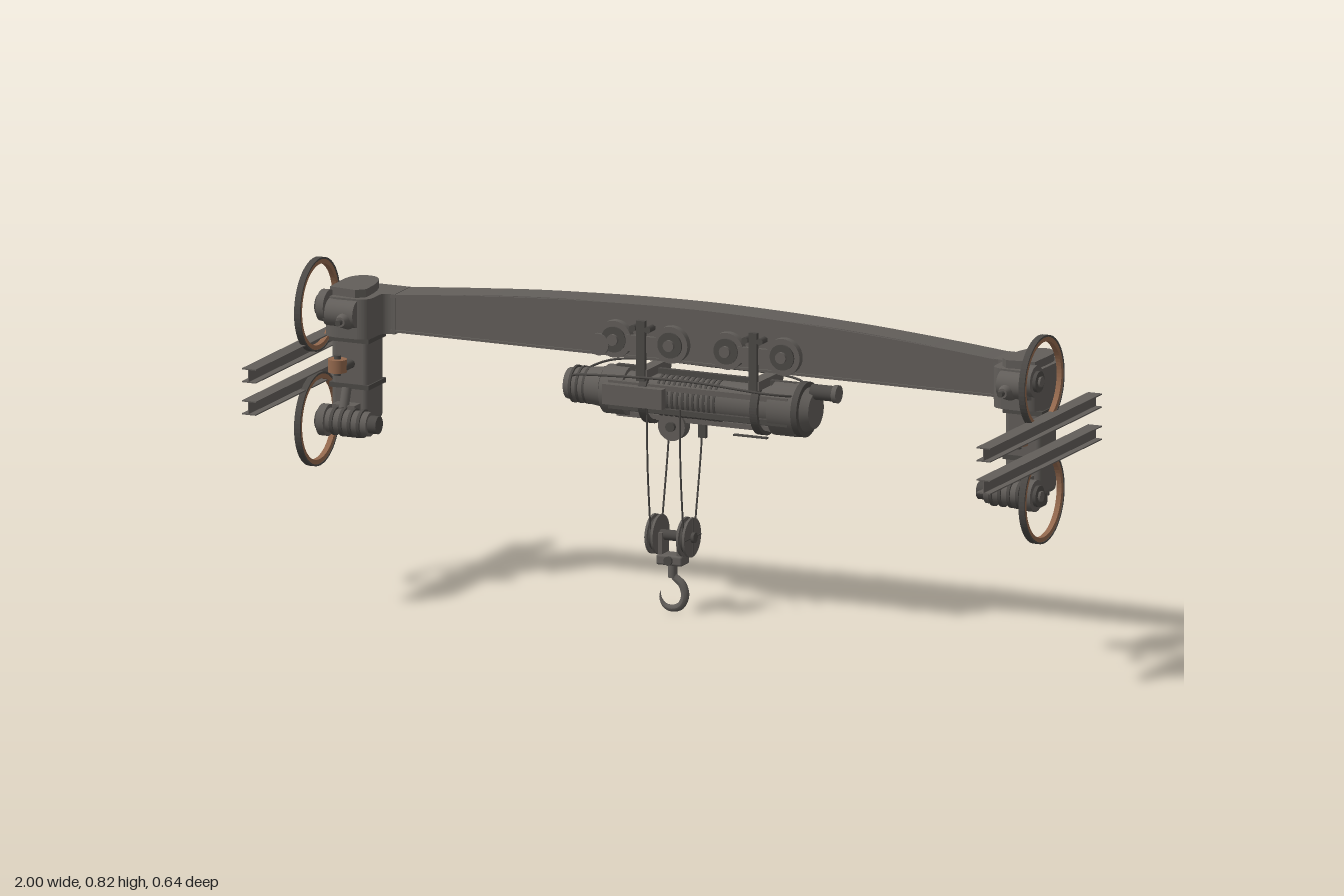
import * as THREE from 'three';
import { RoundedBoxGeometry } from 'three/addons/geometries/RoundedBoxGeometry.js';

const mat = (name, color) => {
  const m = new THREE.MeshStandardMaterial({ color });
  m.name = name;
  return m;
};

export function createModel() {
  const steel = mat('steel grey', 0x625e5a);
  const dark = mat('dark steel', 0x4c4946);
  const copper = mat('copper brown', 0x93684d);
  const root = new THREE.Group();
  root.name = 'overheadCrane';

  const add = (parent, name, geo, m, x = 0, y = 0, z = 0) => {
    const mesh = new THREE.Mesh(geo, m);
    mesh.name = name;
    mesh.position.set(x, y, z);
    parent.add(mesh);
    return mesh;
  };
  const group = (name) => {
    const g = new THREE.Group();
    g.name = name;
    root.add(g);
    return g;
  };
  const box = (p, name, m, w, h, d, x, y, z) => add(p, name, new THREE.BoxGeometry(w, h, d), m, x, y, z);
  // Cylinder along a chosen axis
  const cyl = (p, name, m, axis, r, len, x, y, z, r2 = r, seg = 28) => {
    const g = new THREE.CylinderGeometry(r2, r, len, seg);
    if (axis === 'x') g.rotateZ(-Math.PI / 2);
    if (axis === 'z') g.rotateX(Math.PI / 2);
    return add(p, name, g, m, x, y, z);
  };
  const tube = (p, name, m, pts, r, seg = 24) => add(p, name,
    new THREE.TubeGeometry(new THREE.CatmullRomCurve3(pts.map((a) => new THREE.Vector3(...a))), seg, r, 8), m);
  // Flat ring whose axis is x
  const ring = (p, name, m, ro, ri, w, x, y, z) => {
    const s = new THREE.Shape().absarc(0, 0, ro, 0, Math.PI * 2);
    s.holes.push(new THREE.Path().absarc(0, 0, ri, 0, Math.PI * 2, true));
    const g = new THREE.ExtrudeGeometry(s, { depth: w, bevelEnabled: false, curveSegments: 32 });
    g.translate(0, 0, -w / 2).rotateY(Math.PI / 2);
    return add(p, name, g, m, x, y, z);
  };

  // Main girder with arched top
  const girder = group('girder');
  const arch = (inset, bottom) => {
    const s = new THREE.Shape();
    s.moveTo(-0.85, bottom).lineTo(0.85, bottom).lineTo(0.85, 0.722 - inset);
    s.bezierCurveTo(0.45, 0.772 - inset, 0.25, 0.77 - inset, 0, 0.77 - inset);
    s.bezierCurveTo(-0.25, 0.77 - inset, -0.45, 0.772 - inset, -0.85, 0.722 - inset);
    return s;
  };
  const slab = (name, shape, depth, z) => add(girder, name,
    new THREE.ExtrudeGeometry(shape, { depth, bevelEnabled: false, curveSegments: 20 }), steel, 0, 0, z);
  slab('girderBody', arch(0.004, 0.637), 0.08, -0.211);
  slab('girderTopFlange', arch(0, 0.718), 0.088, -0.215).scale.set(0.001, 0.001, 0.001);
  girder.remove(girder.children[1]);
  const lip = new THREE.Shape();
  for (let i = 0; i <= 40; i++) {
    const x = -0.85 + i * 0.0425;
    const y = 0.77 - 0.048 * Math.pow(Math.abs(x) / 0.85, 1.8);
    i ? lip.lineTo(x, y) : lip.moveTo(x, y);
  }
  for (let i = 40; i >= 0; i--) {
    const x = -0.85 + i * 0.0425;
    lip.lineTo(x, 0.762 - 0.048 * Math.pow(Math.abs(x) / 0.85, 1.8));
  }
  slab('girderTopFlange', lip, 0.09, -0.216);
  box(girder, 'girderBottomFlange', steel, 1.68, 0.006, 0.09, 0, 0.636, -0.171);

  // End carriages, mirrored left and right
  for (const s of [1, -1]) {
    const e = group(s > 0 ? 'leftEndCarriage' : 'rightEndCarriage');
    const plan = (k) => {
      const p = new THREE.Shape();
      p.moveTo(s * 0.8, 0.215).lineTo(s * 0.89, 0.215 - k);
      p.quadraticCurveTo(s * (0.953 - k), 0.213 - k, s * (0.955 - k), 0.15);
      p.lineTo(s * (0.953 - k), 0.06).quadraticCurveTo(s * (0.945 - k), 0.038 + k, s * 0.91, 0.038 + k);
      p.lineTo(s * (0.86 + k), 0.04 + k).quadraticCurveTo(s * (0.832 + k), 0.045 + k, s * (0.832 + k), 0.07);
      p.lineTo(s * (0.832 + k), 0.105).quadraticCurveTo(s * 0.832, 0.127, s * 0.8, 0.127);
      return p;
    };
    const planGeo = (shape, depth) => new THREE.ExtrudeGeometry(shape, { depth, bevelEnabled: false, curveSegments: 12 })
      .rotateX(-Math.PI / 2);
    add(e, 'cornerHousing', planGeo(plan(0), 0.1), steel, 0, 0.628, 0);
    const lid = new THREE.Shape();
    lid.moveTo(s * 0.85, 0.07).quadraticCurveTo(s * 0.85, 0.2, s * 0.9, 0.205);
    lid.quadraticCurveTo(s * 0.945, 0.205, s * 0.945, 0.14).lineTo(s * 0.942, 0.06).lineTo(s * 0.87, 0.05);
    add(e, 'housingLid', planGeo(lid, 0.022), steel, 0, 0.726, 0);

    // Leg below the housing
    add(e, 'leg', new RoundedBoxGeometry(0.1, 0.235, 0.095, 3, 0.015), steel, s * 0.9, 0.523, -0.127);
    add(e, 'legFoot', new RoundedBoxGeometry(0.07, 0.06, 0.075, 3, 0.012), dark, s * 0.9, 0.4, -0.118);
    box(e, 'legRearRib', dark, 0.05, 0.2, 0.008, s * 0.9, 0.49, -0.176);
    for (const y of [0.615, 0.5]) box(e, 'legBand', dark, 0.106, 0.012, 0.1, s * 0.9, y, -0.127);

    // Upper drive: hub, motor and nozzle
    for (const y of [0.705, 0.42]) {
      cyl(e, 'wheelHub', steel, 'x', 0.039, 0.02, s * 0.945, y, -0.042);
      cyl(e, 'hubRim', dark, 'x', 0.026, 0.012, s * 0.958, y, -0.042);
      cyl(e, 'hubNut', steel, 'x', 0.014, 0.012, s * 0.964, y, -0.042, 0.014, 6);
      ring(e, 'wheelRing', copper, 0.113, 0.1, 0.013, s * 0.968, y, -0.042);
      ring(e, 'wheelTyre', dark, 0.1155, 0.111, 0.016, s * 0.968, y, -0.042);
    }
    cyl(e, 'upperMotor', steel, 'x', 0.034, 0.08, s * 0.9, 0.69, -0.045);
    cyl(e, 'motorNose', steel, 'z', 0.026, 0.04, s * 0.885, 0.678, -0.015, 0.012);
    cyl(e, 'nozzle', dark, 'z', 0.007, 0.03, s * 0.885, 0.678, 0.005);

    // Lower drive motor with ribs
    cyl(e, 'lowerMotor', steel, 'x', 0.03, 0.12, s * 0.885, 0.42, -0.042);
    for (let i = 0; i < 4; i++) cyl(e, 'motorRib', dark, 'x', 0.035, 0.008, s * (0.845 + i * 0.024), 0.42, -0.042);
    cyl(e, 'motorCap', dark, 'x', 0.022, 0.025, s * 0.815, 0.42, -0.042);
    box(e, 'motorBracket', steel, 0.06, 0.06, 0.06, s * 0.9, 0.43, -0.075);
    const joint = cyl(e, 'linkRod', steel, 'y', 0.012, 0.05, s * 0.9, 0.475, -0.057);
    joint.rotation.x = -0.35;

    // Guide roller between the rails
    cyl(e, 'guideRoller', copper, 'y', 0.023, 0.032, s * 0.91, 0.56, -0.034);
    cyl(e, 'rollerPin', dark, 'y', 0.008, 0.05, s * 0.91, 0.56, -0.034);
    add(e, 'rollerArm', new RoundedBoxGeometry(0.05, 0.02, 0.08, 2, 0.008), dark, s * 0.91, 0.556, -0.075);

    // Runway rails, thin flanged sections
    for (const y of [0.6025, 0.5225]) {
      box(e, 'railWeb', steel, 0.003, 0.035, 0.64, s * 0.982, y, 0);
      for (const f of [-1, 1]) box(e, 'railFlange', steel, 0.037, 0.003, 0.64, s * 0.9815, y + f * 0.016, 0);
    }
  }

  // Trolleys: wheel pairs on both faces of the girder
  for (const cx of [-0.13, 0.17]) {
    const t = group('trolley');
    for (const [z, out] of [[-0.116, 1], [-0.228, -1]]) {
      for (const dx of [-0.075, 0.075]) {
        cyl(t, 'trolleyWheel', steel, 'z', 0.046, 0.018, cx + dx, 0.68, z);
        cyl(t, 'wheelDish', dark, 'z', 0.032, 0.012, cx + dx, 0.68, z + out * 0.008);
        cyl(t, 'axleCap', steel, 'z', 0.014, 0.016, cx + dx, 0.68, z + out * 0.014);
      }
      box(t, 'sidePlate', steel, 0.16, 0.04, 0.01, cx, 0.675, z + out * 0.006);
      box(t, 'hangerStrap', dark, 0.022, 0.15, 0.012, cx, 0.66, z + out * 0.014);
      for (const dx of [-0.02, 0.02]) cyl(t, 'bolt', dark, 'z', 0.009, 0.03, cx + dx, 0.715, z + out * 0.008, 0.009, 6);
    }
    box(t, 'crossTie', steel, 0.03, 0.022, 0.14, cx, 0.602, -0.172);
    ring(t, 'drumStrap', dark, 0.073, 0.063, 0.02, cx, 0.54, -0.172);
  }
  const drive = group('trolleyDrive');
  cyl(drive, 'driveMotor', steel, 'z', 0.027, 0.03, -0.243, 0.665, -0.113);
  cyl(drive, 'driveMotorRear', steel, 'z', 0.032, 0.035, -0.243, 0.68, -0.236);

  // Hoist: drum between end housings, held by tie bars
  const hoist = group('hoist');
  const hy = 0.54, hz = -0.172;
  cyl(hoist, 'ropeDrum', steel, 'x', 0.05, 0.46, 0.02, hy, hz);
  for (let i = 0; i < 12; i++) cyl(hoist, 'ropeTurn', dark, 'x', 0.0525, 0.006, -0.1 + i * 0.014, hy, hz);
  cyl(hoist, 'gearHousing', steel, 'x', 0.064, 0.07, 0.235, hy, hz);
  cyl(hoist, 'gearFlange', dark, 'x', 0.068, 0.016, 0.275, hy, hz);
  cyl(hoist, 'gearCover', steel, 'x', 0.056, 0.025, 0.292, hy, hz, 0.045);
  cyl(hoist, 'rearGearCase', steel, 'x', 0.066, 0.06, 0.22, 0.53, -0.198);
  cyl(hoist, 'auxMotor', dark, 'x', 0.019, 0.07, 0.33, 0.586, hz);
  cyl(hoist, 'auxMotorCap', steel, 'x', 0.022, 0.012, 0.36, 0.586, hz);
  cyl(hoist, 'motorHousing', steel, 'x', 0.06, 0.06, -0.22, hy, hz);
  cyl(hoist, 'motorBody', steel, 'x', 0.038, 0.1, -0.305, 0.543, hz, 0.05);
  for (let i = 0; i < 5; i++) cyl(hoist, 'coolingRib', dark, 'x', 0.046, 0.006, -0.335 + i * 0.018, 0.543, hz);
  for (let i = 0; i < 6; i++) {
    const a = Math.PI / 6 + i * Math.PI / 3;
    box(hoist, 'tieBar', i % 2 ? dark : steel, 0.48, 0.013, 0.013, 0.015, hy + 0.058 * Math.sin(a), hz + 0.058 * Math.cos(a));
  }
  box(hoist, 'controlBox', steel, 0.16, 0.05, 0.022, -0.15, 0.545, -0.102);
  for (const z of [-0.084, -0.256]) {
    tube(hoist, 'powerCable', dark, [[-0.35, 0.56, hz], [-0.28, 0.59, z], [0, 0.6, z], [0.22, 0.59, z], [0.29, 0.57, hz]], 0.003, 40);
  }
  cyl(hoist, 'guideSheave', steel, 'z', 0.036, 0.03, -0.075, 0.465, hz);
  cyl(hoist, 'sheavePin', dark, 'z', 0.012, 0.05, -0.075, 0.465, hz);
  box(hoist, 'ropeAnchor', dark, 0.02, 0.065, 0.01, -0.03, 0.457, -0.24);
  box(hoist, 'limitBar', dark, 0.09, 0.004, 0.01, 0.13, 0.458, hz);

  // Ropes down to the hook block
  for (const x of [-0.12, -0.032]) {
    tube(root, 'frontRope', dark, [[x, 0.52, -0.113], [x, 0.37, -0.117], [x, 0.21, -0.133]], 0.0025);
    tube(root, 'rearRope', dark, [[x, 0.48, -0.24], [x, 0.42, -0.238], [x, 0.21, -0.199]], 0.0025);
  }

  // Hook block with two sheaves
  const block = group('hookBlock');
  const bx = -0.076, bz = -0.167;
  for (const s of [-1, 1]) {
    for (const o of [0.034, 0.05]) cyl(block, 'sheaveFlange', steel, 'x', 0.049, 0.006, bx + s * o, 0.192, bz, 0.049, 32);
    cyl(block, 'sheaveCore', dark, 'x', 0.04, 0.014, bx + s * 0.042, 0.192, bz);
    cyl(block, 'sheaveCap', dark, 'x', 0.013, 0.01, bx + s * 0.056, 0.192, bz);
    box(block, 'coverRib', dark, 0.004, 0.094, 0.003, bx + s * 0.053, 0.192, bz);
    box(block, 'coverRib', dark, 0.004, 0.003, 0.094, bx + s * 0.053, 0.192, bz);
    box(block, 'blockCheek', steel, 0.01, 0.07, 0.04, bx + s * 0.025, 0.165, bz);
  }
  cyl(block, 'sheaveAxle', dark, 'x', 0.013, 0.11, bx, 0.192, bz);
  add(block, 'crosshead', new RoundedBoxGeometry(0.07, 0.026, 0.048, 2, 0.006), steel, bx, 0.134, bz);
  cyl(block, 'crossheadPin', dark, 'z', 0.011, 0.062, bx, 0.134, bz);
  cyl(block, 'hookShank', steel, 'y', 0.011, 0.04, bx, 0.108, bz);

  // Tapered hook: a tube narrowed towards its tip
  const path = new THREE.CatmullRomCurve3([[0, 0.11], [0.004, 0.092], [0.026, 0.072], [0.033, 0.045], [0.022, 0.02],
    [0, 0.011], [-0.022, 0.017], [-0.033, 0.036], [-0.032, 0.052]].map(([x, y]) => new THREE.Vector3(x, y, 0)));
  const hook = new THREE.TubeGeometry(path, 40, 0.01, 12);
  const pos = hook.attributes.position, v = new THREE.Vector3();
  for (let i = 0; i < pos.count; i++) {
    const u = Math.floor(i / 13) / 40;
    const k = u < 0.72 ? 0.85 + 0.2 * Math.sin(u / 0.72 * Math.PI) : 0.85 * (1 - (u - 0.72) / 0.3);
    const c = path.getPointAt(u);
    v.fromBufferAttribute(pos, i).sub(c).multiplyScalar(k).add(c);
    pos.setXYZ(i, v.x, v.y, v.z * 0.85);
  }
  hook.computeVertexNormals();
  add(block, 'hook', hook, steel, bx, 0, bz);

  return root;
}
